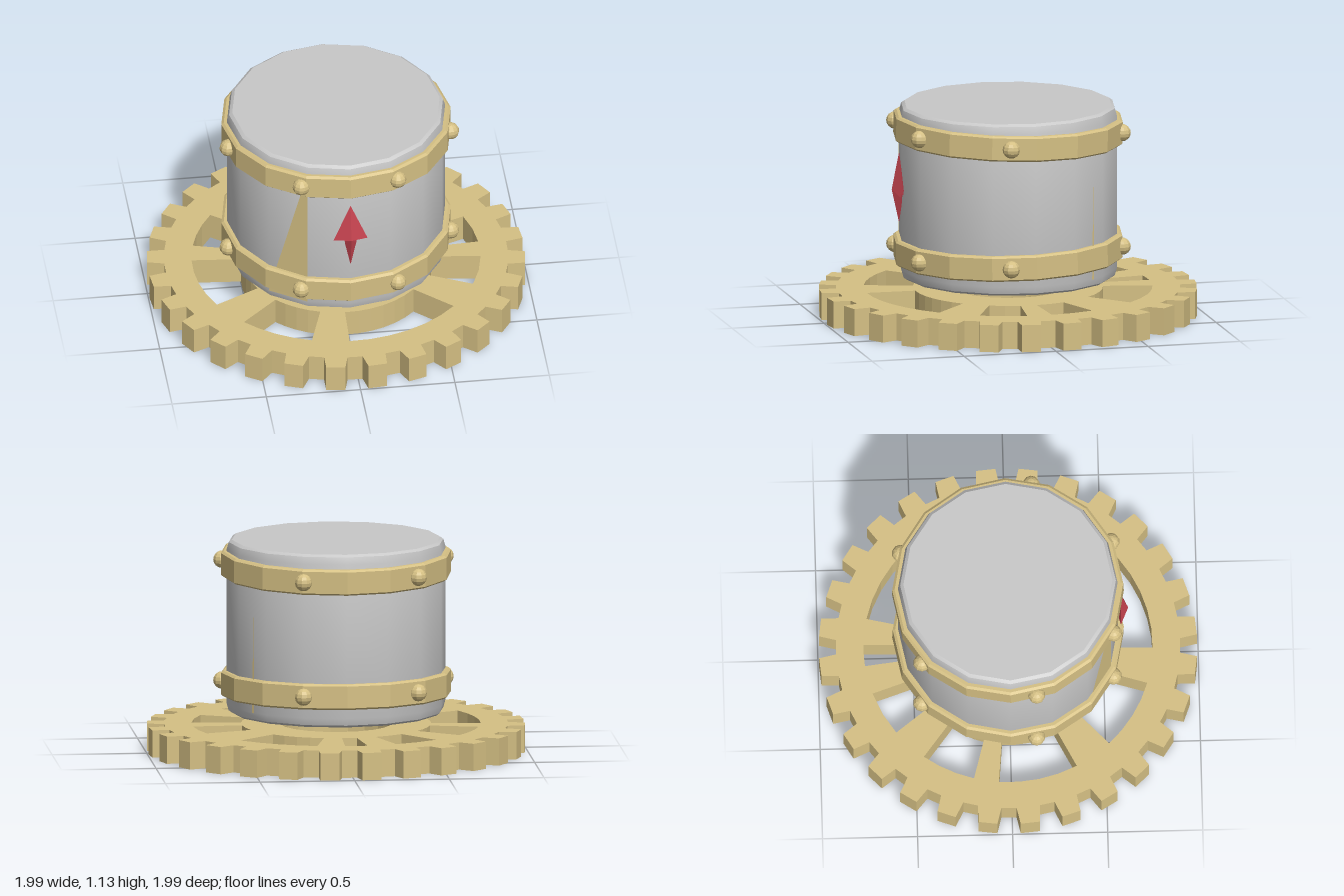
import * as THREE from 'three';
import { toCreasedNormals } from 'three/addons/utils/BufferGeometryUtils.js';

const RAD = Math.PI / 180;
const SIDES = 16;
const gold = new THREE.MeshStandardMaterial({ color: 0xd5c084, name: 'gold', flatShading: true });
const silver = new THREE.MeshStandardMaterial({ color: 0xc8c8c8, name: 'silver' });
const red = new THREE.MeshStandardMaterial({ color: 0xc84450, name: 'red', flatShading: true });

function add(group, name, geometry, material) {
  const mesh = new THREE.Mesh(geometry, material);
  mesh.name = name;
  group.add(mesh);
  return mesh;
}

const polar = (r, deg) => new THREE.Vector2(r * Math.cos(deg * RAD), r * Math.sin(deg * RAD));
const v2 = (list) => list.map(([x, y]) => new THREE.Vector2(x, y));

// Ring sector used for one gear window
function sector(from, to, inner, outer) {
  const n = Math.max(2, Math.round((to - from) / 8));
  const points = [];
  for (let i = 0; i <= n; i++) points.push(polar(outer, from + (to - from) * i / n));
  for (let i = n; i >= 0; i--) points.push(polar(inner, from + (to - from) * i / n));
  return new THREE.Path(points);
}

function gearGeometry() {
  const teeth = 28, step = 360 / teeth, outline = [];
  for (let i = 0; i < teeth; i++) {
    const a = 187.5 + i * step;
    outline.push(polar(0.905, a - 3.9), polar(0.995, a - 2.9), polar(0.995, a + 2.9), polar(0.905, a + 3.9));
  }
  const shape = new THREE.Shape(outline);
  const windows = [[-77, -43], [-21, -3], [7, 26], [43, 92], [107, 137],
    [153, 185], [195, 217], [232, 251], [263, 272]];
  for (const [from, to] of windows) shape.holes.push(sector(from, to, 0.5, 0.76));
  const bore = [];
  for (let i = 0; i < 20; i++) bore.push(polar(0.295, i * 18));
  shape.holes.push(new THREE.Path(bore));
  return new THREE.ExtrudeGeometry(shape, { depth: 0.145, bevelEnabled: false })
    .rotateX(Math.PI / 2).translate(0, 0.145, 0);
}

// Faces from a list of triangles, each three [x, y, z] corners
function triangles(list) {
  const geometry = new THREE.BufferGeometry();
  geometry.setAttribute('position', new THREE.Float32BufferAttribute(list.flat(2), 3));
  geometry.computeVertexNormals();
  return geometry;
}

// Arrowhead with a raised central ridge
function arrowGeometry() {
  const half = [[0, 0.9], [-0.09, 0.685], [-0.035, 0.715], [-0.03, 0.66], [0, 0.52]];
  const outline = [...half, ...half.slice(1, -1).reverse().map(([x, y]) => [-x, y])];
  const faces = [];
  outline.forEach(([x, y], i) => {
    const [u, v] = outline[(i + 1) % outline.length];
    faces.push([[0, 0.7, 0.632], [x, y, 0.592], [u, v, 0.592]]);
    faces.push([[0, 0.7, 0.565], [u, v, 0.592], [x, y, 0.592]]);
  });
  return triangles(faces);
}

// Band with six rivets, tilted slightly about the x axis
function strap(name, y, tilt) {
  const group = new THREE.Group();
  group.name = name;
  const profile = v2([[0.565, -0.068], [0.595, -0.068], [0.608, -0.058],
    [0.608, 0.058], [0.595, 0.068], [0.565, 0.068], [0.565, -0.068]]);
  add(group, 'band', new THREE.LatheGeometry(profile, SIDES), gold);
  const ball = new THREE.SphereGeometry(0.046, 10, 8);
  for (const deg of [13, 65, 115, 167, 230, 292]) {
    const p = polar(0.605, deg);
    add(group, 'rivet', ball, gold).position.set(p.x, 0, p.y);
  }
  group.position.y = y;
  group.rotation.x = tilt;
  return group;
}

export function createModel() {
  const model = new THREE.Group();
  model.name = 'drumOnGear';

  add(model, 'gear', gearGeometry(), gold);

  // Chamfered drum
  const profile = v2([[0, 0.21], [0.55, 0.21], [0.567, 0.222], [0.578, 0.26],
    [0.578, 1.08], [0.567, 1.118], [0.55, 1.13], [0, 1.13]]);
  add(model, 'drum', toCreasedNormals(new THREE.LatheGeometry(profile, SIDES), 30 * RAD), silver);

  // Gold slivers lying on two drum facets
  const at = (deg, y) => {
    const p = polar(0.581, deg);
    return [p.x, y, p.y];
  };
  add(model, 'frontSliver', triangles([[at(112.5, 0.26), at(112.5, 1.08), at(135, 0.26)]]), gold)
    .material.side = THREE.DoubleSide;
  add(model, 'backSliver', triangles([[at(-36.5, 0.26), at(-36, 0.85), at(-35, 0.26)]]), gold);

  model.add(strap('upperStrap', 1.002, -0.026));
  model.add(strap('lowerStrap', 0.365, 0.022));
  add(model, 'arrow', arrowGeometry(), red);
  return model;
}
